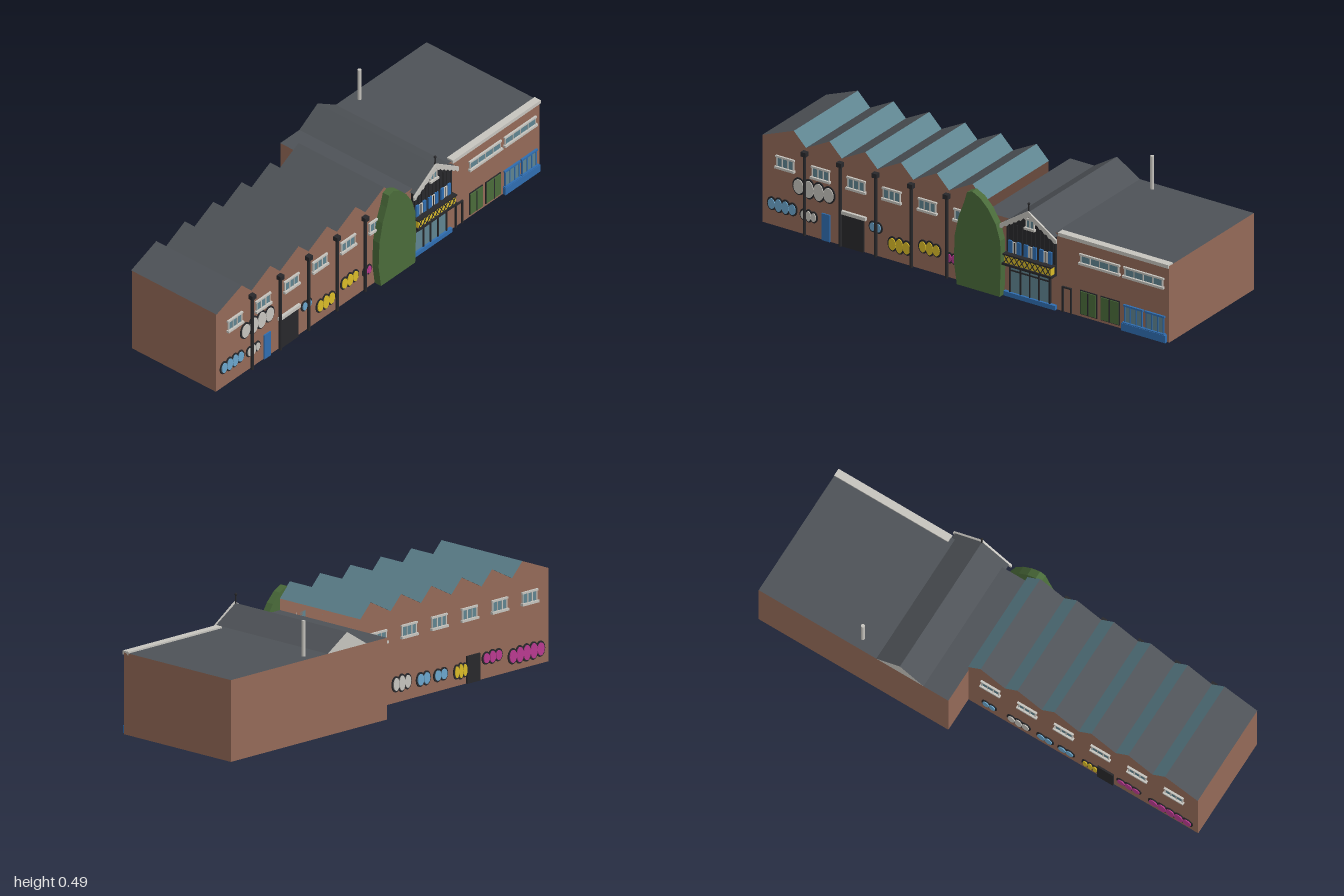
import * as THREE from 'three';

// Local frame: x runs along the street facade, z points out of it, y is up.
const SHED_D = 0.448, BLOCK_D = 0.602, S1 = 1.09, S2 = 1.99, FLAT = 0.342;
const PERIOD = 0.175, VALLEY = 0.39, PEAK = 0.45;

export function createModel() {
  const M = {};
  const mat = (name, color, side = THREE.FrontSide) => {
    M[name] = new THREE.MeshStandardMaterial({ color, side });
    M[name].name = name;
  };
  mat('brick', 0x946a58, THREE.DoubleSide);
  mat('roof', 0x4e5257, THREE.DoubleSide);
  mat('glass', 0x5f8490, THREE.DoubleSide);
  mat('green', 0x4a6b3a);
  mat('blue', 0x2f6db0);
  mat('yellow', 0xd9bb28);
  mat('magenta', 0xb83a8f);
  mat('skyBlue', 0x6ba6cc);
  mat('paleGrey', 0xc6c4be, THREE.DoubleSide);
  mat('black', 0x28282b);

  const street = new THREE.Group();
  street.name = 'streetRow';
  street.rotation.y = Math.atan2(0.843, 0.537);
  street.position.set(-0.35, 0, 1.0);

  const add = (name, m, geo) => {
    const mesh = new THREE.Mesh(geo, M[m]);
    mesh.name = name;
    street.add(mesh);
    return mesh;
  };
  const box = (name, m, x0, x1, y0, y1, z0, z1) =>
    add(name, m, new THREE.BoxGeometry(x1 - x0, y1 - y0, z1 - z0)
      .translate((x0 + x1) / 2, (y0 + y1) / 2, (z0 + z1) / 2));
  const shape = (pts) => new THREE.Shape(pts.map((p) => new THREE.Vector2(...p)));
  const sheet = (name, m, pts, z) => add(name, m, new THREE.ShapeGeometry(shape(pts)).translate(0, 0, z));
  const slab = (name, m, pts, z, depth) => add(name, m,
    new THREE.ExtrudeGeometry(shape(pts), { depth, bevelEnabled: false }).translate(0, 0, z));
  // Rectangle swept back from the edge a-b, between z0 and z1
  const sweep = (name, m, a, b, z0, z1) => {
    const g = new THREE.BufferGeometry();
    const q = [[...a, z0], [...b, z0], [...b, z1], [...a, z1]];
    g.setAttribute('position', new THREE.Float32BufferAttribute([0, 1, 2, 0, 2, 3].flatMap((i) => q[i]), 3));
    g.computeVertexNormals();
    return add(name, m, g);
  };

  // Saw-tooth shed: roofline, walls and roof
  const line = [[0, VALLEY]];
  for (let i = 0; i < 6; i++) line.push([0.155 + i * PERIOD, PEAK], [0.215 + i * PERIOD, VALLEY]);
  const outline = [[0, 0], [S1, 0], ...line.slice().reverse()];
  sheet('shedStreetWall', 'brick', outline, 0);
  sheet('shedBackWall', 'brick', outline, -SHED_D);
  sweep('shedEndWall', 'brick', [0, 0], [0, VALLEY], 0, -SHED_D);
  for (let i = 0; i < 12; i++)
    sweep(i % 2 ? 'roofLight' : 'shedRoof', i % 2 ? 'glass' : 'roof', line[i + 1], line[i], -SHED_D - 0.004, 0.004);

  // Main block with flat roof
  const rect = [[S1, 0], [S2, 0], [S2, FLAT], [S1, FLAT]];
  sheet('blockStreetWall', 'brick', rect, 0);
  sheet('blockBackWall', 'brick', rect, -BLOCK_D);
  for (const x of [S1, S2]) sweep('blockEndWall', 'brick', [x, 0], [x, FLAT], 0, -BLOCK_D);
  sweep('flatRoof', 'roof', [S2, FLAT], [S1, FLAT], -BLOCK_D, 0);
  box('parapet', 'paleGrey', 1.45, S2, 0.333, 0.349, -0.025, 0.008);
  add('chimney', 'paleGrey', new THREE.CylinderGeometry(0.008, 0.008, 0.15, 12).translate(1.524, 0.415, -0.556));

  // Cross gable
  const C = 1.32, W = 0.128, EAVE = 0.332, TOP = 0.412;
  sweep('gableRoofNear', 'roof', [C, TOP], [C - W, EAVE], -BLOCK_D, 0.03);
  sweep('gableRoofFar', 'roof', [C + W, EAVE], [C, TOP], -BLOCK_D, 0.03);
  sheet('backGable', 'paleGrey', [[C - W + 0.016, FLAT], [C + W - 0.016, FLAT], [C, TOP]], -BLOCK_D);
  slab('timberGable', 'black', [[C - 0.12, 0.155], [C + 0.12, 0.155], [C + 0.12, EAVE], [C, TOP - 0.004], [C - 0.12, EAVE]], 0, 0.01);
  for (const d of [-1, 1]) {
    // Fretted bargeboard
    const pts = [[C, TOP + 0.006], [C + d * 0.138, 0.326]];
    for (let i = 0; i <= 12; i++) {
      const t = 1 - i / 12;
      pts.push([C + d * 0.138 * t, 0.395 - 0.086 * t - (i % 2 ? 0.007 : 0)]);
    }
    slab('bargeboard', 'paleGrey', pts, 0.026, 0.008);
  }
  add('finial', 'black', new THREE.CylinderGeometry(0.003, 0.004, 0.06, 8).translate(C, 0.42, 0.025));
  add('finialBall', 'black', new THREE.SphereGeometry(0.006, 10, 8).translate(C, 0.449, 0.025));
  for (let i = -5; i <= 5; i++)
    box('timberBatten', 'black', C + i * 0.022 - 0.002, C + i * 0.022 + 0.002, 0.255, 0.33, 0.01, 0.014);

  // Glazed window with frame bars and sills
  const windowAt = (x0, x1, y0, y1, panes, frame = 'paleGrey', z = 0, d = 1) => {
    const layer = (n, m, a, b, c, e, t) => box(n, m, a, b, c, e, Math.min(z, z + d * t), Math.max(z, z + d * t));
    layer('windowGlass', 'glass', x0, x1, y0, y1, 0.004);
    for (let i = 0; i <= panes; i++) {
      const x = x0 + (x1 - x0) * i / panes;
      layer('windowBar', frame, x - 0.0025, x + 0.0025, y0, y1, 0.007);
    }
    layer('windowHead', frame, x0 - 0.006, x1 + 0.006, y1 - 0.002, y1 + 0.006, 0.009);
    layer('windowSill', frame, x0 - 0.008, x1 + 0.008, y0 - 0.008, y0 + 0.002, 0.013);
  };
  for (let i = 0; i < 6; i++) {
    const x = 0.113 + i * 0.174;
    windowAt(x - 0.04, x + 0.04, 0.27, 0.313, 3);
    windowAt(x - 0.04, x + 0.04, 0.27, 0.313, 3, 'paleGrey', -SHED_D, -1);
  }

  // Drainpipes with hopper heads
  for (let i = 0; i < 5; i++) {
    const x = 0.212 + i * 0.174;
    add('drainpipe', 'black', new THREE.CylinderGeometry(0.007, 0.007, 0.37, 10).translate(x, 0.185, 0.01));
    box('hopperHead', 'black', x - 0.012, x + 0.012, 0.355, 0.375, 0, 0.022);
  }

  // Wall paintings: rows of outlined lobes
  const painting = (m, x0, x1, y0, y1, n, z = 0, d = 1) => {
    const step = (x1 - x0) / n, yc = (y0 + y1) / 2;
    for (let i = 0; i < n; i++) {
      const end = n > 2 && (i === 0 || i === n - 1);
      const rx = step * 0.52, ry = (y1 - y0) / 2 * (end ? 0.85 : 1);
      for (const [mm, grow, t] of [['black', 0.006, 0.004], [m, -0.001, 0.008]]) {
        const lobe = add('wallPainting', mm, new THREE.CylinderGeometry(1, 1, t, 20).rotateX(Math.PI / 2));
        lobe.scale.set(rx + grow, ry + grow, 1);
        lobe.position.set(x0 + step * (i + 0.5), yc, z + d * t / 2);
      }
    }
  };
  [['skyBlue', 0.03, 0.165, 0.068, 0.125, 4], ['paleGrey', 0.155, 0.35, 0.17, 0.247, 4],
    ['paleGrey', 0.19, 0.265, 0.066, 0.112, 3], ['skyBlue', 0.528, 0.582, 0.108, 0.147, 2],
    ['yellow', 0.62, 0.725, 0.043, 0.108, 3], ['yellow', 0.77, 0.87, 0.075, 0.133, 3],
    ['magenta', 0.905, 0.95, 0.07, 0.108, 2]].forEach((p) => painting(...p));
  [['skyBlue', 0.96, 1.02, 0.055, 0.1, 2], ['paleGrey', 0.8, 0.9, 0.045, 0.11, 3],
    ['skyBlue', 0.69, 0.76, 0.045, 0.095, 2], ['skyBlue', 0.59, 0.66, 0.045, 0.09, 2],
    ['yellow', 0.475, 0.545, 0.03, 0.09, 3], ['magenta', 0.275, 0.38, 0.06, 0.11, 3],
    ['magenta', 0.03, 0.23, 0.03, 0.095, 5]].forEach((p) => painting(...p, -SHED_D, -1));

  // Shed doors
  box('blueDoor', 'blue', 0.292, 0.332, 0, 0.12, 0, 0.006);
  box('gate', 'black', 0.392, 0.498, 0, 0.143, 0, 0.008);
  box('gateLintel', 'paleGrey', 0.38, 0.51, 0.145, 0.16, 0, 0.013);
  box('backGate', 'black', 0.4, 0.475, 0, 0.115, -SHED_D - 0.008, -SHED_D);

  // Tall clipped tree against the wall
  slab('tree', 'green', [[0.975, 0], [1.185, 0], [1.19, 0.15], [1.187, 0.25], [1.165, 0.32], [1.13, 0.375],
    [1.09, 0.415], [1.05, 0.435], [1.025, 0.425], [1.01, 0.375], [0.985, 0.31], [0.965, 0.22], [0.96, 0.1]], 0.002, 0.034);

  // Gable house: attic window, shuttered windows, balcony and shop front
  windowAt(C - 0.018, C + 0.018, 0.335, 0.372, 2, 'paleGrey', 0.012);
  for (let i = -1; i <= 1; i++) {
    const x = C + i * 0.076;
    box('windowPane', 'paleGrey', x - 0.012, x + 0.012, 0.19, 0.25, 0.01, 0.015);
    box('windowCross', 'black', x - 0.001, x + 0.001, 0.19, 0.25, 0.015, 0.017);
    for (const d of [-1, 1])
      box('shutter', 'blue', x + d * 0.021 - 0.009, x + d * 0.021 + 0.009, 0.19, 0.255, 0.01, 0.018);
  }
  const B0 = C - 0.115, B1 = C + 0.115;
  box('balcony', 'yellow', B0, B1, 0.16, 0.195, 0.01, 0.036);
  box('balconyFloor', 'black', B0 - 0.006, B1 + 0.006, 0.15, 0.16, 0, 0.042);
  box('balconyRail', 'black', B0 - 0.004, B1 + 0.004, 0.195, 0.201, 0.008, 0.04);
  for (let i = 0; i < 9; i++) {
    const x = B0 + (i + 0.5) * (B1 - B0) / 9;
    for (const d of [-1, 1]) {
      const bar = add('balconyCross', 'black', new THREE.BoxGeometry(0.003, 0.04, 0.003));
      bar.position.set(x, 0.178, 0.037);
      bar.rotation.z = d * 0.6;
    }
  }
  box('shopGlass', 'glass', C - 0.105, C + 0.09, 0.02, 0.148, 0, 0.005);
  for (const t of [0, 0.27, 0.5, 0.73, 1])
    box('shopMullion', 'black', C - 0.108 + 0.195 * t, C - 0.102 + 0.195 * t, 0.02, 0.15, 0, 0.01);
  box('shopTransom', 'black', C - 0.105, C + 0.09, 0.115, 0.121, 0, 0.009);
  box('shopPlinth', 'blue', C - 0.132, C + 0.12, 0, 0.02, 0, 0.015);

  // Right wing windows and doors
  for (const x of [1.56, 1.775]) windowAt(x, x + 0.185, 0.243, 0.277, 4);
  for (const x of [1.472, 1.512]) box('doorPost', 'black', x - 0.003, x + 0.003, 0, 0.11, 0, 0.008);
  box('doorHead', 'black', 1.469, 1.515, 0.108, 0.114, 0, 0.008);
  for (const [a, b] of [[1.56, 1.635], [1.66, 1.745]]) {
    box('greenDoorFrame', 'black', a - 0.004, b + 0.004, 0.012, 0.12, 0, 0.004);
    box('greenDoor', 'green', a, b, 0.016, 0.116, 0, 0.008);
    box('greenDoorSplit', 'black', (a + b) / 2 - 0.002, (a + b) / 2 + 0.002, 0.016, 0.116, 0, 0.01);
  }
  windowAt(1.775, 1.86, 0.035, 0.108, 3, 'blue');
  windowAt(1.88, 1.965, 0.035, 0.108, 3, 'blue');
  box('bluePanel', 'blue', 1.765, 1.98, 0, 0.033, 0, 0.015);

  const group = new THREE.Group();
  group.name = 'factoryRow';
  group.add(street);
  return group;
}
